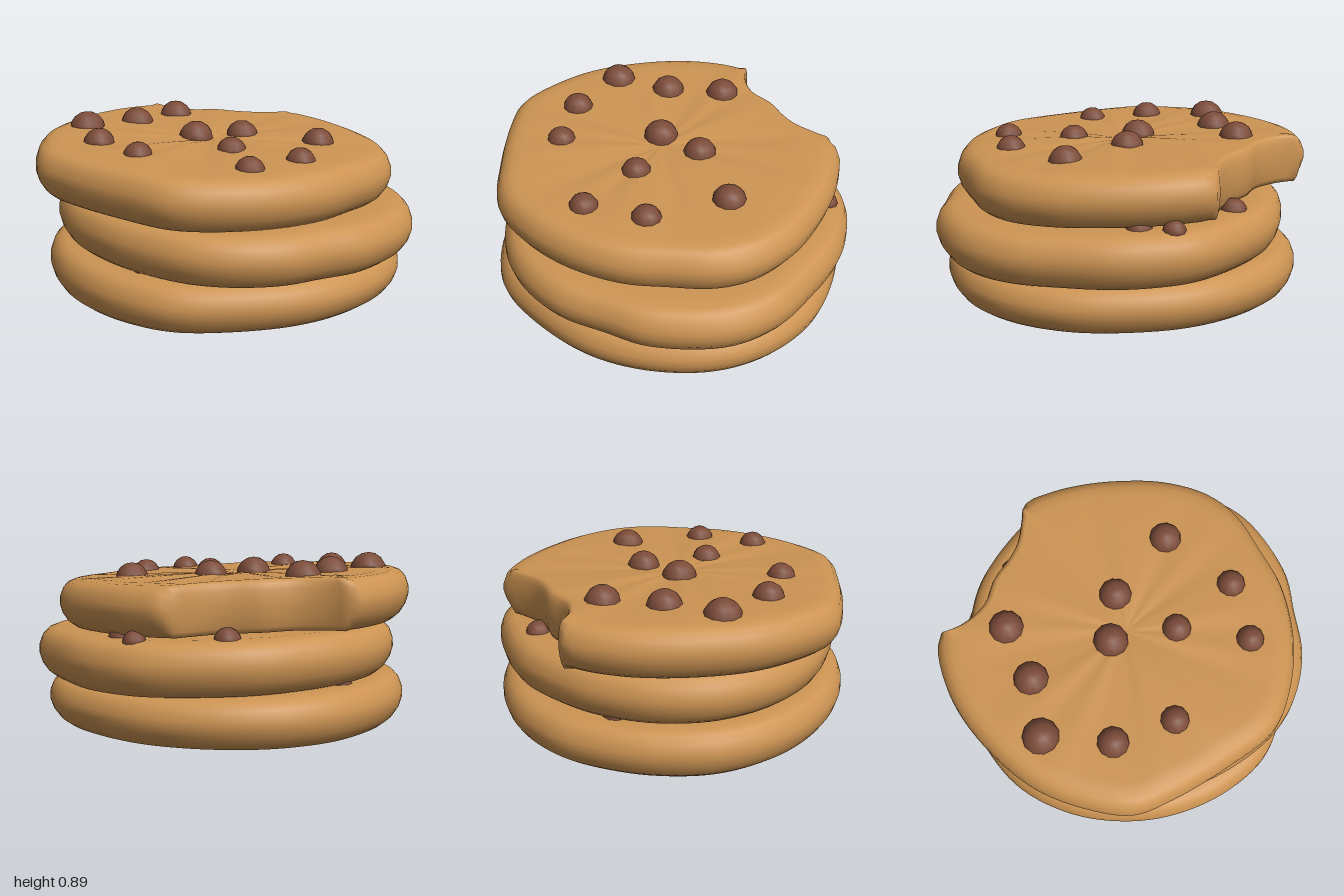
import * as THREE from 'three';
import { mergeVertices } from 'three/addons/utils/BufferGeometryUtils.js';

const SEGMENTS = 112;

// Rim profile from underside centre to top centre: [share of radius, share of height]
const PROFILE = [
  [0, 0], [0.5, 0], [0.8, 0], [0.92, 0], [0.955, 0.1], [0.985, 0.27], [1, 0.46], [0.998, 0.62],
  [0.98, 0.8], [0.95, 0.92], [0.91, 0.975], [0.85, 1], [0.7, 1], [0.5, 1], [0.35, 1], [0.2, 0.99], [0.08, 0.96], [0, 0.94],
];

// Outlines as [x, z], from +x towards +z and round
const BOTTOM = [
  [0.96, 0], [0.95, 0.25], [0.85, 0.52], [0.66, 0.74], [0.35, 0.9], [0.02, 0.95], [-0.35, 0.88], [-0.62, 0.75],
  [-0.81, 0.5], [-0.91, 0.22], [-0.93, -0.05], [-0.87, -0.35], [-0.7, -0.64], [-0.42, -0.84], [-0.1, -0.94],
  [0.1, -0.95], [0.4, -0.87], [0.68, -0.66], [0.87, -0.38],
];
const MIDDLE = [
  [0.99, -0.02], [0.97, 0.22], [0.91, 0.52], [0.75, 0.76], [0.4, 0.95], [0.15, 0.975], [-0.1, 0.99], [-0.35, 0.92],
  [-0.55, 0.78], [-0.74, 0.5], [-0.84, 0.22], [-0.87, -0.02], [-0.82, -0.32], [-0.66, -0.6], [-0.4, -0.79],
  [-0.1, -0.87], [0.1, -0.87], [0.4, -0.81], [0.65, -0.66], [0.87, -0.44], [0.96, -0.22],
];
const TOP = [
  [0.89, 0], [0.87, 0.28], [0.78, 0.52], [0.64, 0.67], [0.42, 0.78], [0.2, 0.87], [-0.1, 0.9], [-0.38, 0.85],
  [-0.6, 0.74], [-0.78, 0.48], [-0.94, 0.17], [-1, -0.02], [-0.95, -0.27], [-0.83, -0.52], [-0.6, -0.76],
  [-0.35, -0.92], [-0.1, -0.99], [-0.01, -0.98], [0.02, -0.9], [0.08, -0.81], [0.16, -0.74], [0.3, -0.69],
  [0.41, -0.61], [0.52, -0.555], [0.66, -0.53], [0.77, -0.51], [0.83, -0.38], [0.87, -0.22],
];

// Tilted plane, returns height at x, z
const plane = (y, dx, dz) => (x, z) => y + dx * x + dz * z;

// Cookie swept from its outline; the bitten arc keeps a crisper rim
function cookie(outline, cx, cz, low, high, creases, bite) {
  const curve = new THREE.CatmullRomCurve3(outline.map(([x, z]) => new THREE.Vector3(x, 0, z)), true);
  const rim = curve.getSpacedPoints(SEGMENTS).slice(0, SEGMENTS);
  const pos = [], index = [];
  PROFILE.forEach(([s, t], i) => {
    rim.forEach((p) => {
      const a = Math.atan2(p.z - cz, p.x - cx);
      const bitten = bite && a > bite[0] && a < bite[1] && s > 0.84;
      const k = bitten ? 1 - (1 - s) * 0.4 : s;
      const x = cx + (p.x - cx) * k, z = cz + (p.z - cz) * k;
      let y = THREE.MathUtils.lerp(low(x, z), high(x, z), t);
      // Radial creases running out of the centre
      if (i > 10) {
        const fade = Math.sin(Math.PI * Math.min(1, s));
        y += creases * fade * (Math.sin(5 * a + 1) + 0.6 * Math.sin(11 * a) + 0.5 * Math.sin(17 * a + 2));
      }
      pos.push(x, y, z);
    });
  });
  for (let i = 0; i < PROFILE.length - 1; i++) {
    for (let j = 0; j < SEGMENTS; j++) {
      const n = (j + 1) % SEGMENTS;
      const a = i * SEGMENTS + j, b = i * SEGMENTS + n, c = a + SEGMENTS, d = b + SEGMENTS;
      if (i < PROFILE.length - 2) index.push(a, c, d);
      else index.push(a, c, b);
      if (i > 0 && i < PROFILE.length - 2) index.push(a, d, b);
    }
  }
  let geo = new THREE.BufferGeometry();
  geo.setAttribute('position', new THREE.Float32BufferAttribute(pos, 3));
  geo.setIndex(index);
  geo = mergeVertices(geo, 1e-5);
  geo.computeVertexNormals();
  return geo;
}

export function createModel() {
  const dough = new THREE.MeshStandardMaterial({ color: 0xcd9453 });
  dough.name = 'baked dough';
  const chocolate = new THREE.MeshStandardMaterial({ color: 0x7b4b39 });
  chocolate.name = 'chocolate';
  const chipShape = new THREE.SphereGeometry(1, 11, 8);
  const model = new THREE.Group();
  model.name = 'cookieStack';

  // Chips are [x, z, radius], half sunk into the top of each cookie
  const layers = [
    {
      name: 'bottomCookie', outline: BOTTOM, centre: [0.01, 0], creases: 0.002,
      low: plane(0, 0, 0), high: plane(0.248, -0.012, -0.008),
      chips: [[-0.6, 0.45, 0.08], [-0.15, -0.72, 0.08], [0.3, -0.55, 0.08], [0.65, -0.3, 0.07], [0.2, 0.4, 0.08], [-0.5, -0.3, 0.08]],
    },
    {
      name: 'middleCookie', outline: MIDDLE, centre: [0.04, 0.05], creases: 0.002,
      low: plane(0.25, -0.018, -0.013), high: plane(0.513, -0.015, -0.019),
      chips: [[0.77, -0.14, 0.07], [0.8, -0.31, 0.06], [0.45, -0.6, 0.07], [0.7, 0.13, 0.07], [-0.3, 0.4, 0.08], [-0.5, -0.2, 0.08]],
    },
    {
      name: 'topCookie', outline: TOP, centre: [-0.05, 0], creases: 0.004, bite: [-1.54, -0.57],
      low: plane(0.525, -0.018, -0.032), high: plane(0.783, -0.02, -0.033),
      chips: [
        [-0.6, -0.46, 0.1], [-0.29, -0.5, 0.095], [0, -0.62, 0.095], [-0.65, -0.1, 0.085], [-0.1, -0.08, 0.095],
        [0.16, -0.04, 0.09], [-0.55, 0.22, 0.078], [-0.05, 0.27, 0.08], [0.48, 0.25, 0.09], [0.19, 0.58, 0.08], [-0.13, 0.65, 0.077],
      ],
    },
  ];

  for (const layer of layers) {
    const group = new THREE.Group();
    group.name = layer.name;
    const body = new THREE.Mesh(
      cookie(layer.outline, ...layer.centre, layer.low, layer.high, layer.creases, layer.bite), dough);
    body.name = 'cookieBody';
    group.add(body);
    for (const [x, z, r] of layer.chips) {
      const chip = new THREE.Mesh(chipShape, chocolate);
      chip.name = 'chocolateChip';
      chip.scale.setScalar(r);
      chip.position.set(x, layer.high(x, z) - r * 0.2, z);
      chip.rotation.y = x * 7 + z * 3;
      group.add(chip);
    }
    model.add(group);
  }
  return model;
}
